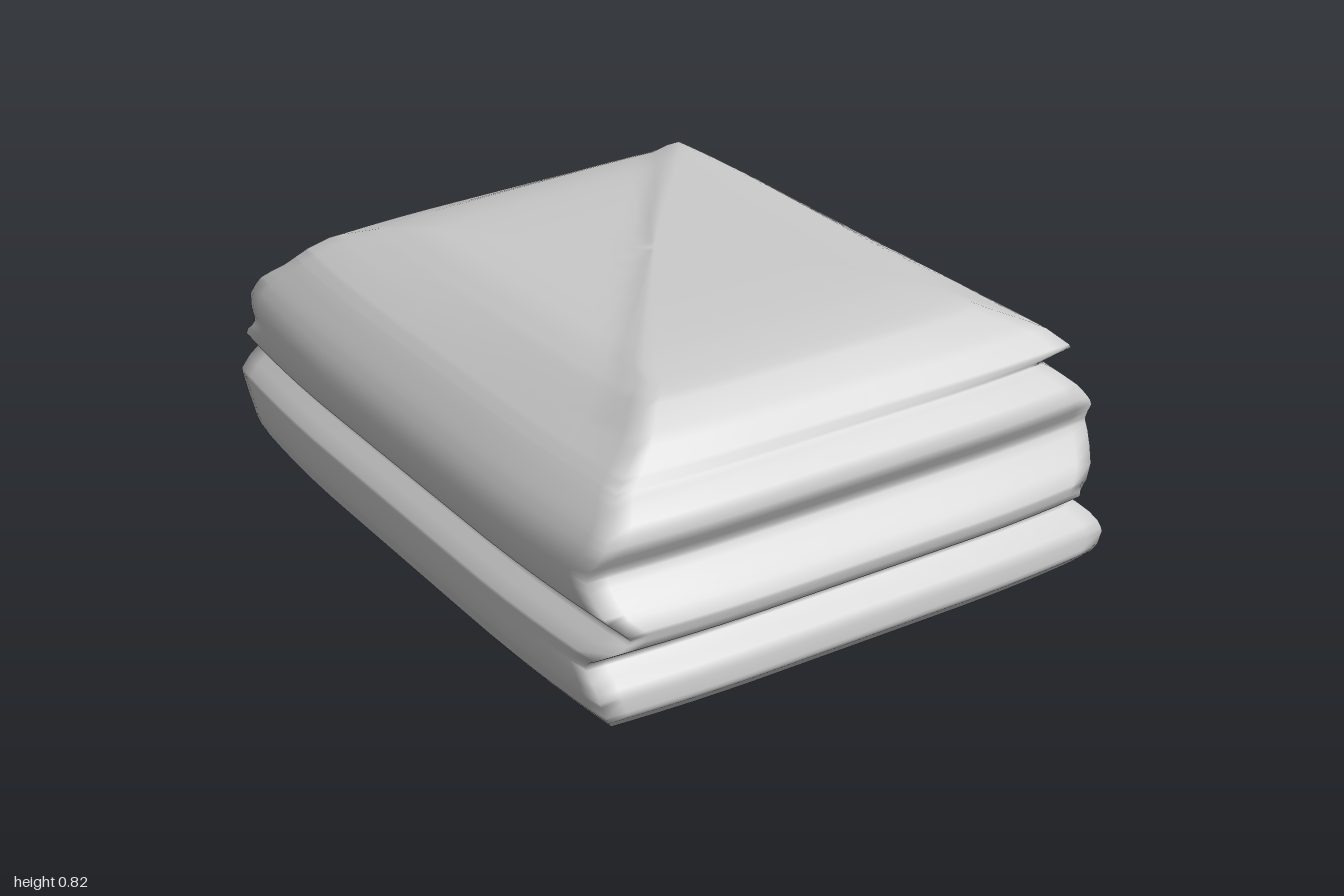
import * as THREE from 'three';

// Side outlines, bottom to top: [height, distance from the centre axis]
const sides = {
  right: [[0.02, 0.58], [0.05, 0.71], [0.12, 0.775], [0.17, 0.81], [0.22, 0.79], [0.27, 0.735], [0.33, 0.7],
    [0.345, 0.705], [0.4, 0.755], [0.45, 0.785], [0.5, 0.79], [0.58, 0.745], [0.64, 0.68], [0.655, 0.655],
    [0.672, 0.652], [0.72, 0.635], [0.78, 0.56], [0.8, 0.52], [0.81, 0.48]],
  left: [[0.02, 0.58], [0.05, 0.71], [0.12, 0.785], [0.2, 0.81], [0.28, 0.8], [0.31, 0.77], [0.34, 0.735],
    [0.39, 0.785], [0.45, 0.8], [0.5, 0.795], [0.56, 0.765], [0.65, 0.685], [0.72, 0.59], [0.78, 0.51], [0.81, 0.42]],
  front: [[0.02, 0.64], [0.055, 0.9], [0.14, 0.98], [0.2, 0.965], [0.25, 0.905], [0.265, 0.92], [0.31, 0.99],
    [0.36, 1], [0.42, 0.945], [0.48, 0.9], [0.55, 0.935], [0.6, 0.92], [0.655, 0.855], [0.672, 0.845],
    [0.74, 0.78], [0.79, 0.7], [0.8, 0.66], [0.81, 0.58]],
  back: [[0.02, 0.64], [0.05, 0.86], [0.08, 0.915], [0.13, 0.9], [0.18, 0.9], [0.24, 0.95], [0.28, 0.99],
    [0.35, 1], [0.42, 0.94], [0.47, 0.88], [0.53, 0.93], [0.57, 0.92], [0.63, 0.85], [0.68, 0.81],
    [0.74, 0.77], [0.79, 0.68], [0.81, 0.58]],
};

const { smoothstep } = THREE.MathUtils;

// Smooth outline that never overshoots its points
function extent(profile, y) {
  const last = profile.length - 1;
  const slope = i => (profile[i + 1][1] - profile[i][1]) / (profile[i + 1][0] - profile[i][0]);
  const tangent = i => {
    if (i === 0) return slope(0);
    if (i === last) return slope(last - 1);
    const a = slope(i - 1), b = slope(i);
    return a * b > 0 ? 2 * a * b / (a + b) : 0;
  };
  let i = 0;
  while (i < last - 1 && profile[i + 1][0] < y) i++;
  const [y0, e0] = profile[i], [y1, e1] = profile[i + 1];
  const h = y1 - y0, t = (y - y0) / h, t2 = t * t, t3 = t2 * t;
  return (2 * t3 - 3 * t2 + 1) * e0 + (t3 - 2 * t2 + t) * h * tangent(i)
    + (3 * t2 - 2 * t3) * e1 + (t3 - t2) * h * tangent(i + 1);
}

// Points round a square, a little closer together towards the corners
function squareLoop(n) {
  const pts = [];
  for (let side = 0; side < 4; side++) {
    for (let i = 0; i < n; i++) {
      const v = 2 * i / n - 1;
      const u = (v + Math.sin(Math.PI / 2 * v)) / 2;
      pts.push([[1, u], [-u, 1], [-1, -u], [u, -1]][side]);
    }
  }
  return pts;
}

// Sides draw in slightly as they near a corner
const taper = u => Math.max(0, (Math.abs(u) - 0.4) / 0.6) ** 2;

function foldedCloth() {
  const heights = [...new Set(Object.values(sides).flat().map(p => p[0]))].sort((a, b) => a - b);
  // Each level: outline height, scale, actual height
  const levels = [
    ...[[0, 0.005], [0.35, 0.006], [0.7, 0.01], [0.88, 0.014]].map(([s, y]) => ({ h: 0.02, s, y })),
    ...heights.map(h => ({ h, s: 1, y: h })),
    ...[[0.9, 0.815], [0.75, 0.819], [0.55, 0.821], [0.35, 0.822], [0.18, 0.822], [0.06, 0.822], [0, 0.822]]
      .map(([s, y]) => ({ h: 0.81, s, y })),
  ];
  const loop = squareLoop(16), count = loop.length;
  const pos = [], index = [];

  levels.forEach(({ h, s, y }, row) => {
    const e = {};
    for (const name in sides) e[name] = extent(sides[name], h);
    // The turned-over flap juts out at its free corner
    const jut = smoothstep(h, 0.652, 0.672) * (1 - smoothstep(h, 0.675, 0.8));
    for (const [a, b] of loop) {
      const w = jut * Math.max(0, (a + b) / 2) ** 2.5;
      const x = s * a * (1 - 0.038 * taper(b)) * (a > 0 ? e.right : e.left) + 0.1 * w;
      const z = s * b * (1 - 0.022 * taper(a)) * (b > 0 ? e.front : e.back) + 0.015 * w;
      // Diagonal fold edge across the top: the layer behind it lies lower and slopes away
      const d = Math.max(0, -0.8 * x - 0.6 * z);
      const drop = smoothstep(y, 0.68, 0.8) * (0.014 * smoothstep(d, 0, 0.06) + 0.04 * d);
      pos.push(x, y - drop, z);
    }
    if (row === 0) return;
    for (let j = 0; j < count; j++) {
      const k = (j + 1) % count, lo = (row - 1) * count, hi = row * count;
      if (row > 1) index.push(lo + j, hi + j, lo + k);
      else index.push(lo + j, hi + j, hi + k);
      if (row > 1 && row < levels.length - 1) index.push(hi + j, hi + k, lo + k);
    }
  });

  const geo = new THREE.BufferGeometry();
  geo.setAttribute('position', new THREE.Float32BufferAttribute(pos, 3));
  geo.setIndex(index);
  geo.computeVertexNormals();
  // Shared normals at the two centre points
  const n = geo.attributes.normal;
  for (let j = 0; j < count; j++) {
    n.setXYZ(j, 0, -1, 0);
    n.setXYZ(n.count - 1 - j, 0, 1, 0);
  }
  return geo;
}

export function createModel() {
  const group = new THREE.Group();
  group.name = 'foldedBlanket';
  const cloth = new THREE.Mesh(foldedCloth(), new THREE.MeshStandardMaterial({ color: 0xcccccc, side: THREE.DoubleSide }));
  cloth.name = 'foldedCloth';
  group.add(cloth);
  return group;
}
